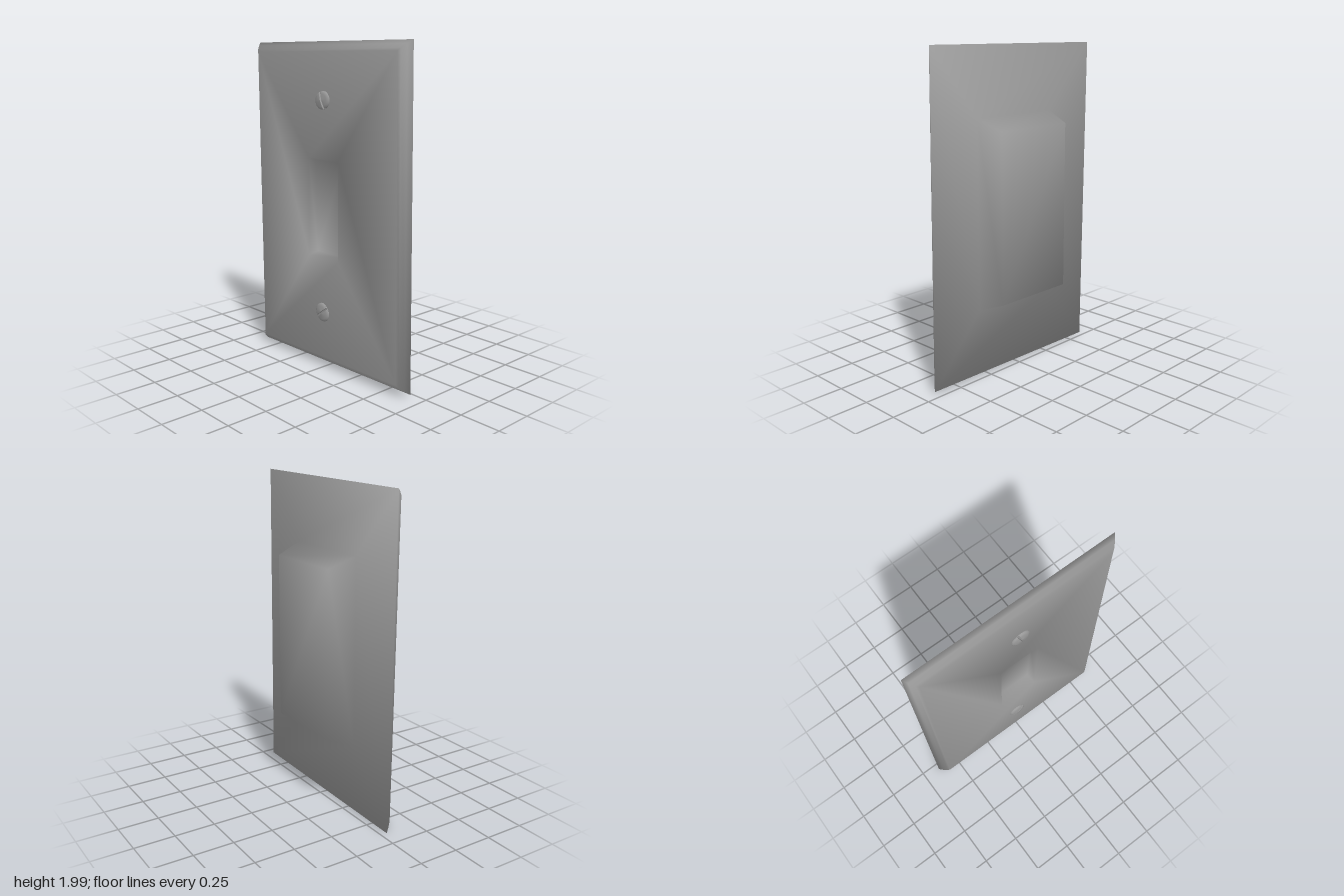
import * as THREE from 'three';
import { mergeGeometries } from 'three/addons/utils/BufferGeometryUtils.js';

const GREY = 0x999999;

// Rectangular cross-section: half sizes, z at the bottom and top edges, in-plane turn
function rect(hw, hh, z, zTop = z, turn = 0) {
  return [[-hw, -hh, z], [hw, -hh, z], [hw, hh, zTop], [-hw, hh, zTop]].map(
    p => new THREE.Vector3(...p).applyAxisAngle(new THREE.Vector3(0, 0, 1), turn));
}

// Quads skinning a series of rectangles, with both ends closed
function skin(count) {
  const quads = [[3, 2, 1, 0]];
  for (let i = 0; i + 1 < count; i++) {
    for (let j = 0; j < 4; j++) {
      const k = (j + 1) % 4;
      quads.push([4 * i + j, 4 * i + k, 4 * i + 4 + k, 4 * i + 4 + j]);
    }
  }
  const e = 4 * (count - 1);
  quads.push([e, e + 1, e + 2, e + 3]);
  return quads;
}

// Vertex normals that weigh every adjoining quad equally, for soft shading
function softNormals(points, quads) {
  const normals = points.map(() => new THREE.Vector3());
  for (const q of quads) {
    const [a, b, c, d] = q.map(i => points[i]);
    const n = c.clone().sub(a).cross(d.clone().sub(b)).normalize();
    q.forEach(i => normals[i].add(n));
  }
  return normals.map(n => n.normalize());
}

function part(name, geometry) {
  const material = new THREE.MeshStandardMaterial({ color: GREY, side: THREE.DoubleSide });
  const m = new THREE.Mesh(geometry, material);
  m.name = name;
  return m;
}

// Domed screw head cut in two by its slot
function screw(name, x, y, slotAngle) {
  const g = new THREE.Group();
  g.name = name;
  const profile = [[0.053, 0], [0.051, 0.008], [0.036, 0.014], [0, 0.018]]
    .map(([r, h]) => new THREE.Vector2(r, h));
  const dome = new THREE.LatheGeometry(profile, 8, 0, Math.PI).rotateX(Math.PI / 2);
  const outline = [...profile, ...profile.slice(0, 3).reverse().map(v => new THREE.Vector2(-v.x, v.y))];
  const wall = new THREE.ShapeGeometry(new THREE.Shape(outline)).rotateX(Math.PI / 2).rotateZ(-Math.PI / 2);
  const half = mergeGeometries([dome, wall]);
  for (const s of [0, 1]) {
    const m = part('screwHeadHalf', half);
    m.rotation.z = s * Math.PI;
    m.position.x = s ? -0.006 : 0.006;
    g.add(m);
  }
  g.add(part('slotFloor', new THREE.CylinderGeometry(0.054, 0.054, 0.006, 16).rotateX(Math.PI / 2)));
  g.position.set(x, y, 0.103);
  g.rotation.z = slotAngle;
  return g;
}

export function createModel() {
  const root = new THREE.Group();
  root.name = 'switchPlate';
  const body = new THREE.Group();
  body.name = 'body';
  body.position.y = 1;
  root.add(body);

  // Cross-sections from the back of the housing to the face in the window;
  // the plate itself sits very slightly crooked
  const turn = 0.0125;
  const loops = [
    rect(0.27, 0.513, -0.125),
    rect(0.304, 0.577, 0.04),
    rect(0.655, 0.988, 0.04, 0.04, turn),
    rect(0.635, 0.968, 0.067, 0.067, turn),
    rect(0.613, 0.946, 0.092, 0.092, turn),
    rect(0.598, 0.931, 0.103, 0.103, turn),
    rect(0.129, 0.303, 0.103),
    rect(0.119, 0.285, 0.04, 0.055),
  ];
  const points = loops.flat();
  const quads = skin(loops.length);
  const position = new THREE.Float32BufferAttribute(points.flatMap(p => p.toArray()), 3);
  const normal = new THREE.Float32BufferAttribute(
    softNormals(points, quads).flatMap(n => n.toArray()), 3);

  // Housing (cap and sides), plate with rim and window walls, set-back face
  for (const [name, from, to] of [['housing', 0, 5], ['plate', 5, 29], ['switchFace', 29, 30]]) {
    const g = new THREE.BufferGeometry();
    g.setAttribute('position', position);
    g.setAttribute('normal', normal);
    g.setIndex(quads.slice(from, to).flatMap(([a, b, c, d]) => [a, b, c, a, c, d]));
    body.add(part(name, g));
  }

  // Fixing screws
  body.add(screw('upperScrew', 0, 0.65, 0.35));
  body.add(screw('lowerScrew', -0.005, -0.642, -0.9));
  return root;
}
